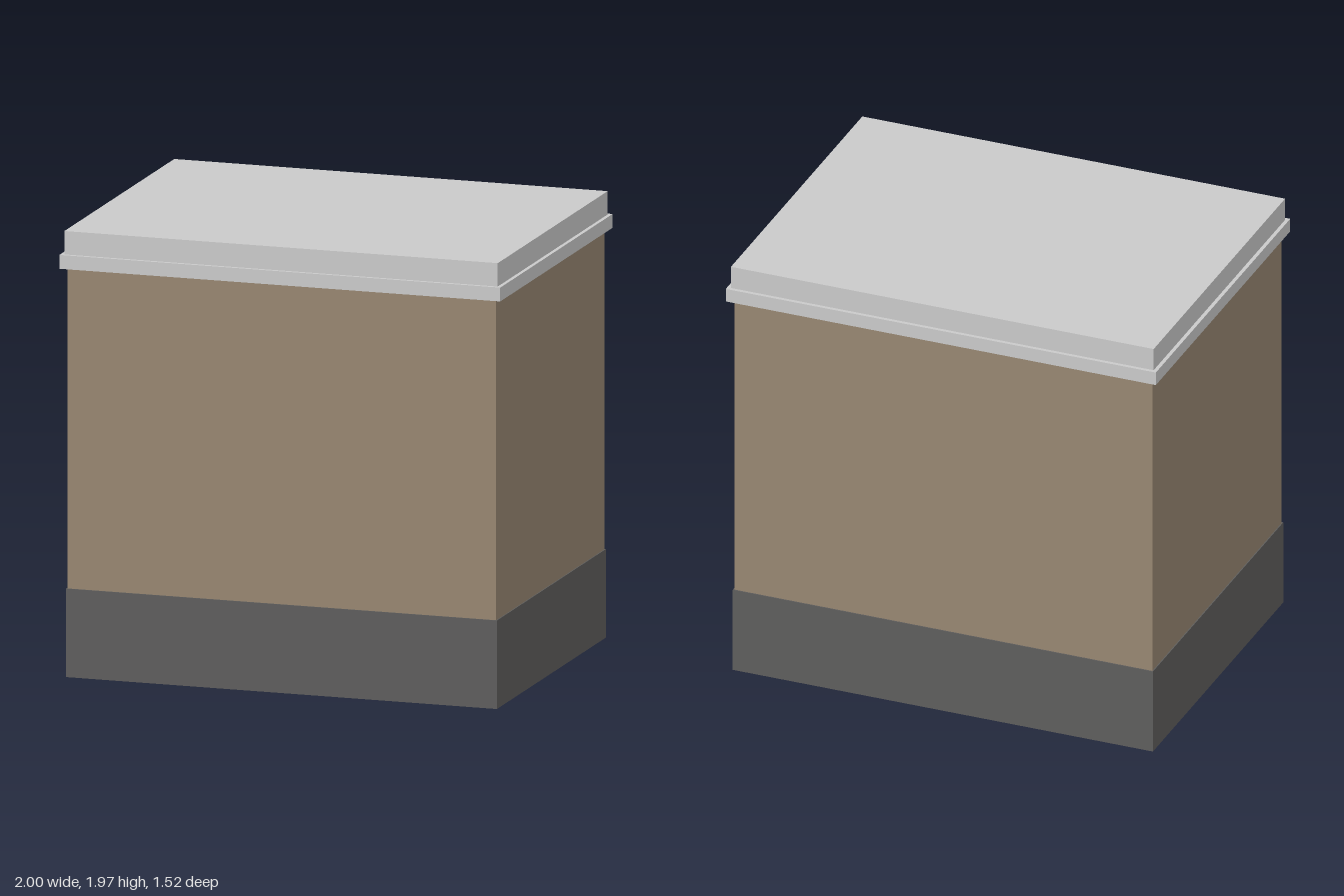
import * as THREE from 'three';

const material = (name, color) => {
  const m = new THREE.MeshStandardMaterial({ color });
  m.name = name;
  return m;
};

export function createModel() {
  const model = new THREE.Group();
  model.name = 'flatRoofedBlock';

  const stone = material('dark grey stone', 0x5e5d5c);
  const wall = material('tan wall', 0x978671);
  const roofing = material('light grey roofing', 0xc9c9c9);

  // Box given by its footprint and its bottom and top heights
  const slab = (name, width, depth, bottom, top, mat) => {
    const mesh = new THREE.Mesh(new THREE.BoxGeometry(width, top - bottom, depth), mat);
    mesh.position.y = (bottom + top) / 2;
    mesh.name = name;
    model.add(mesh);
  };

  // Plinth, slightly proud of the walls
  slab('plinth', 1.954, 1.47, 0, 0.39, stone);
  // Plain walls
  slab('walls', 1.944, 1.46, 0.39, 1.803, wall);
  // Projecting cornice and the roof block set back on it
  slab('cornice', 2, 1.516, 1.803, 1.864, roofing);
  slab('roof', 1.966, 1.482, 1.864, 1.967, roofing);

  return model;
}
